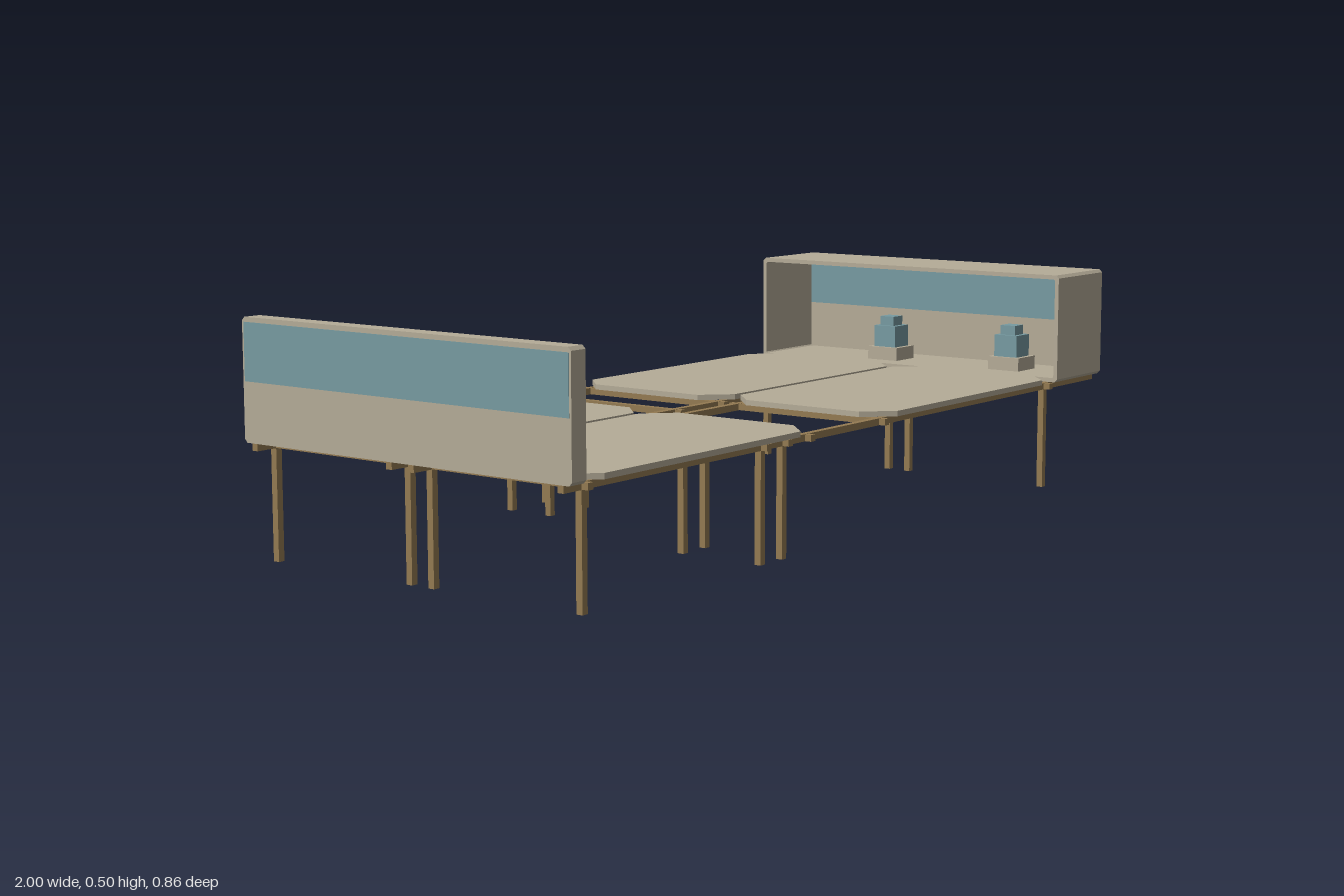
import * as THREE from 'three';

const beige = new THREE.MeshStandardMaterial({ color: 0xb5ac98 });
beige.name = 'beige board';
const blue = new THREE.MeshStandardMaterial({ color: 0x779ba2 });
blue.name = 'blue paint';
const wood = new THREE.MeshStandardMaterial({ color: 0x947b52 });
wood.name = 'brown timber';

// Box given by its min and max corners
function box(parent, name, mat, x0, x1, y0, y1, z0, z1) {
  const m = new THREE.Mesh(new THREE.BoxGeometry(x1 - x0, y1 - y0, z1 - z0), mat);
  m.position.set((x0 + x1) / 2, (y0 + y1) / 2, (z0 + z1) / 2);
  m.name = name;
  parent.add(m);
  return m;
}

// Rectangle with cut corners
function cutRect(Type, u0, u1, v0, v1, c) {
  return new Type([
    [u0 + c, v0], [u1 - c, v0], [u1, v0 + c], [u1, v1 - c],
    [u1 - c, v1], [u0 + c, v1], [u0, v1 - c], [u0, v0 + c],
  ].map(([u, v]) => new THREE.Vector2(u, v)));
}

// Table board with clipped corners
function tableBoard(x0, x1, z0, z1) {
  const geo = new THREE.ExtrudeGeometry(cutRect(THREE.Shape, x0, x1, -z1, -z0, 0.06), { depth: 0.012, bevelEnabled: false });
  geo.rotateX(-Math.PI / 2);
  const m = new THREE.Mesh(geo, beige);
  m.position.y = 0.25;
  m.name = 'tableBoard';
  return m;
}

// Open-fronted shell: rim, back wall and painted bands on both faces of the wall
function shell(name, x0, x1, wallSide) {
  const g = new THREE.Group();
  g.name = name;
  const t = 0.01;
  const rimShape = cutRect(THREE.Shape, -0.43, 0.43, 0.25, 0.505, 0.007);
  rimShape.holes.push(cutRect(THREE.Path, -0.42, 0.42, 0.26, 0.495, 0.003));
  const wallShape = cutRect(THREE.Shape, -0.43, 0.43, 0.25, 0.505, 0.007);
  const extrude = (shape, a, b, part) => {
    const geo = new THREE.ExtrudeGeometry(shape, { depth: b - a, bevelEnabled: false });
    geo.rotateY(Math.PI / 2);
    geo.translate(a, 0, 0);
    const m = new THREE.Mesh(geo, beige);
    m.name = part;
    g.add(m);
  };
  const w0 = wallSide > 0 ? x1 - t : x0;
  extrude(rimShape, wallSide > 0 ? x0 : x0 + t, wallSide > 0 ? x1 - t : x1, 'rim');
  extrude(wallShape, w0, w0 + t, 'backWall');
  const e = 0.001;
  box(g, 'outerBand', blue, ...(wallSide > 0 ? [x1, x1 + e] : [x0 - e, x0]), 0.375, 0.495, -0.425, 0.425);
  box(g, 'innerBand', blue, ...(wallSide > 0 ? [w0 - e, w0] : [w0 + t, w0 + t + e]), 0.375, 0.495, -0.42, 0.42);
  return g;
}

// Small stepped fitting on a plinth
function fitting(x, z, depth) {
  const g = new THREE.Group();
  g.name = 'fitting';
  const tier = (name, mat, d, w, y0, y1) =>
    box(g, name, mat, x - d / 2, x + d / 2, y0, y1, z - w / 2, z + w / 2);
  tier('plinth', beige, depth, 0.085, 0.26, 0.292);
  tier('body', blue, depth * 0.75, 0.062, 0.292, 0.345);
  tier('cap', blue, depth * 0.5, 0.04, 0.345, 0.368);
  return g;
}

export function createModel() {
  const model = new THREE.Group();
  model.name = 'modularTable';

  // Four table boards
  for (const [x0, x1] of [[-0.96, -0.21], [0.035, 0.783]])
    for (const [z0, z1] of [[-0.43, -0.012], [0.004, 0.425]])
      model.add(tableBoard(x0, x1, z0, z1));

  // Two timber frames, each with its own extra cross bars and folding legs
  const frames = [
    { name: 'frontFrame', z0: 0.008, z1: 0.425, rails: [0.028, 0.402], extra: [-0.38, -0.305], inner: 0.205, outer: 0.402 },
    { name: 'backFrame', z0: -0.428, z1: -0.005, rails: [-0.03, -0.403], extra: [-0.225, -0.105], inner: -0.29, outer: -0.403 },
  ];
  const h = 0.0075;
  for (const f of frames) {
    const g = new THREE.Group();
    g.name = f.name;
    for (const z of f.rails) box(g, 'rail', wood, -0.998, 0.998, 0.235, 0.25, z - h, z + h);
    for (const x of new Set([-0.94, -0.225, 0.053, 0.766, ...f.extra]))
      box(g, 'crossBar', wood, x - h, x + h, 0.2355, 0.2495, f.z0, f.z1);
    const leg = (x, z) => box(g, 'leg', wood, x - h, x + h, 0, 0.24, z - h, z + h);
    for (const x of [-0.94, 0.766]) for (const z of f.rails) leg(x, z);
    for (const x of f.extra) for (const z of [f.inner, f.outer]) leg(x, z);
    model.add(g);
  }

  // End shells
  const hood = shell('endHood', 0.785, 0.999, 1);
  const panel = shell('endPanel', -0.999, -0.958, -1);
  for (const z of [-0.1, 0.25]) hood.add(fitting(0.88, z, 0.08));
  for (const z of [0.36, 0.025, -0.3]) panel.add(fitting(-0.974, z, 0.028));
  model.add(hood, panel);
  return model;
}
